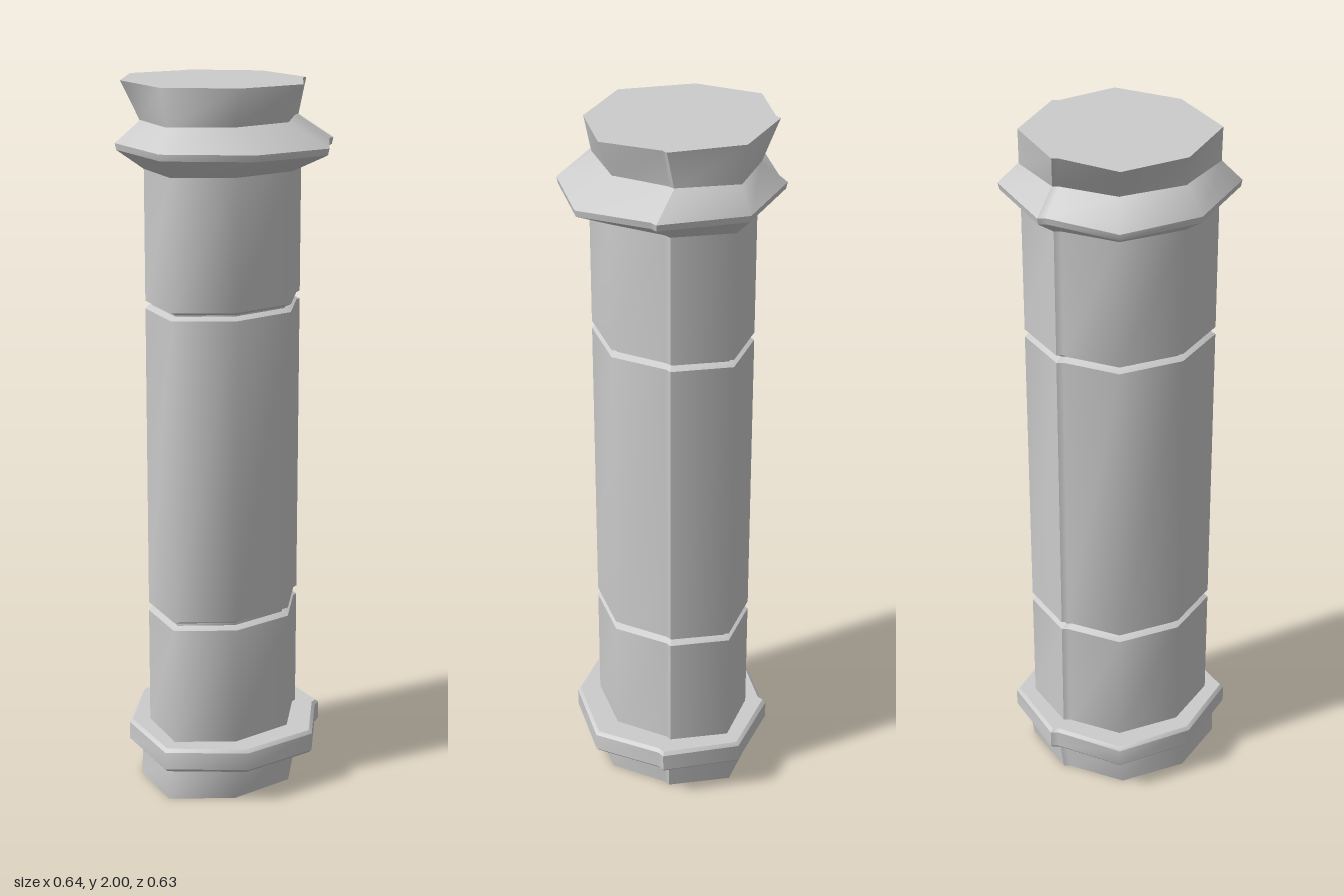
import * as THREE from 'three';

// Half outline (x, z) from front tip to back tip, with a small step at the rear corner
const half = [[0, 1], [0.69, 0.63], [1, -0.03], [0.69, -0.6], [0.69, -0.67], [0, -1]];
const mirror = (pts) => pts.map(([x, z]) => [-x, z]).reverse();
// Smooth front run from rear corner to rear corner, and separate back run
const frontRun = [...mirror(half.slice(1, 5)), ...half.slice(0, 5)];
const backRun = [half[4], half[5], [-half[4][0], half[4][1]]];

const material = new THREE.MeshStandardMaterial({ color: 0xcccccc });

// A level is [y, radiusX, radiusZ, centreX, centreZ]
const place = ([x, z], [y, rx, rz, cx = -0.005, cz = 0]) => [cx + x * rx, y, cz + z * rz];

// Skin one run of the outline through the levels (bottom to top)
function strip(run, levels) {
  const pos = [], idx = [], n = run.length;
  for (const level of levels) for (const p of run) pos.push(...place(p, level));
  for (let j = 0; j < levels.length - 1; j++) {
    for (let i = 0; i < n - 1; i++) {
      const a = j * n + i, b = a + 1, c = a + n, d = c + 1;
      idx.push(a, b, d, a, d, c);
    }
  }
  return finish(pos, idx);
}

// Flat lid over a level, facing up or down
function lid(level, up) {
  const ring = [...frontRun, backRun[1]], n = ring.length;
  const pos = [...place([0, 0], level)], idx = [];
  for (const p of ring) pos.push(...place(p, level));
  for (let i = 0; i < n; i++) {
    const a = 1 + i, b = 1 + ((i + 1) % n);
    idx.push(0, up ? a : b, up ? b : a);
  }
  return finish(pos, idx);
}

function finish(pos, idx) {
  const g = new THREE.BufferGeometry();
  g.setAttribute('position', new THREE.Float32BufferAttribute(pos, 3));
  g.setIndex(idx);
  g.computeVertexNormals();
  return g;
}

// One solid drum; levels in the same band share smooth normals
function drum(name, ...bands) {
  const group = new THREE.Group();
  group.name = name;
  const add = (g) => {
    const mesh = new THREE.Mesh(g, material);
    mesh.name = name + 'Surface';
    group.add(mesh);
  };
  for (const band of bands) {
    add(strip(frontRun, band));
    add(strip(backRun, band));
  }
  add(lid(bands[0][0], false));
  add(lid(bands.at(-1).at(-1), true));
  return group;
}

export function createModel() {
  const model = new THREE.Group();
  model.name = 'column';
  const S = [0.213, 0.258]; // shaft radii
  const G = [0.193, 0.238]; // groove radii

  // Foot and its projecting ring
  model.add(drum('foot', [[0, 0.23, 0.275, -0.01, 0.01], [0.105, 0.235, 0.28]]));
  model.add(drum('footRing', [[0.097, 0.28, 0.305, 0], [0.107, 0.29, 0.315, 0]],
    [[0.107, 0.29, 0.315, 0], [0.158, 0.29, 0.315, 0]],
    [[0.158, 0.29, 0.315, 0], [0.167, 0.28, 0.305, 0]]));

  // Shaft drums with narrow grooves between them
  const shaft = [['lowerShaft', 0.16, 0.505], ['middleShaft', 0.53, 1.388], ['upperShaft', 1.41, 1.775]];
  for (const [name, y0, y1] of shaft) model.add(drum(name, [[y0, ...S], [y1, ...S]]));
  for (const [name, y0, y1] of [['lowerGroove', 0.505, 0.53], ['upperGroove', 1.388, 1.41]]) {
    model.add(drum(name, [[y0, ...S], [y0 + 0.009, ...G]],
      [[y0 + 0.009, ...G], [y1 - 0.009, ...G]], [[y1 - 0.009, ...G], [y1, ...S]]));
  }

  // Sharp-edged collar
  model.add(drum('collar', [[1.77, ...S], [1.82, 0.314, 0.313, 0]],
    [[1.82, 0.314, 0.313, 0], [1.838, 0.318, 0.317, 0]],
    [[1.838, 0.318, 0.317, 0], [1.9, 0.21, 0.26, -0.015]]));

  // Flared cap, offset to one side
  model.add(drum('cap', [[1.895, 0.21, 0.26, -0.015], [2, 0.274, 0.26, -0.035]]));
  return model;
}
